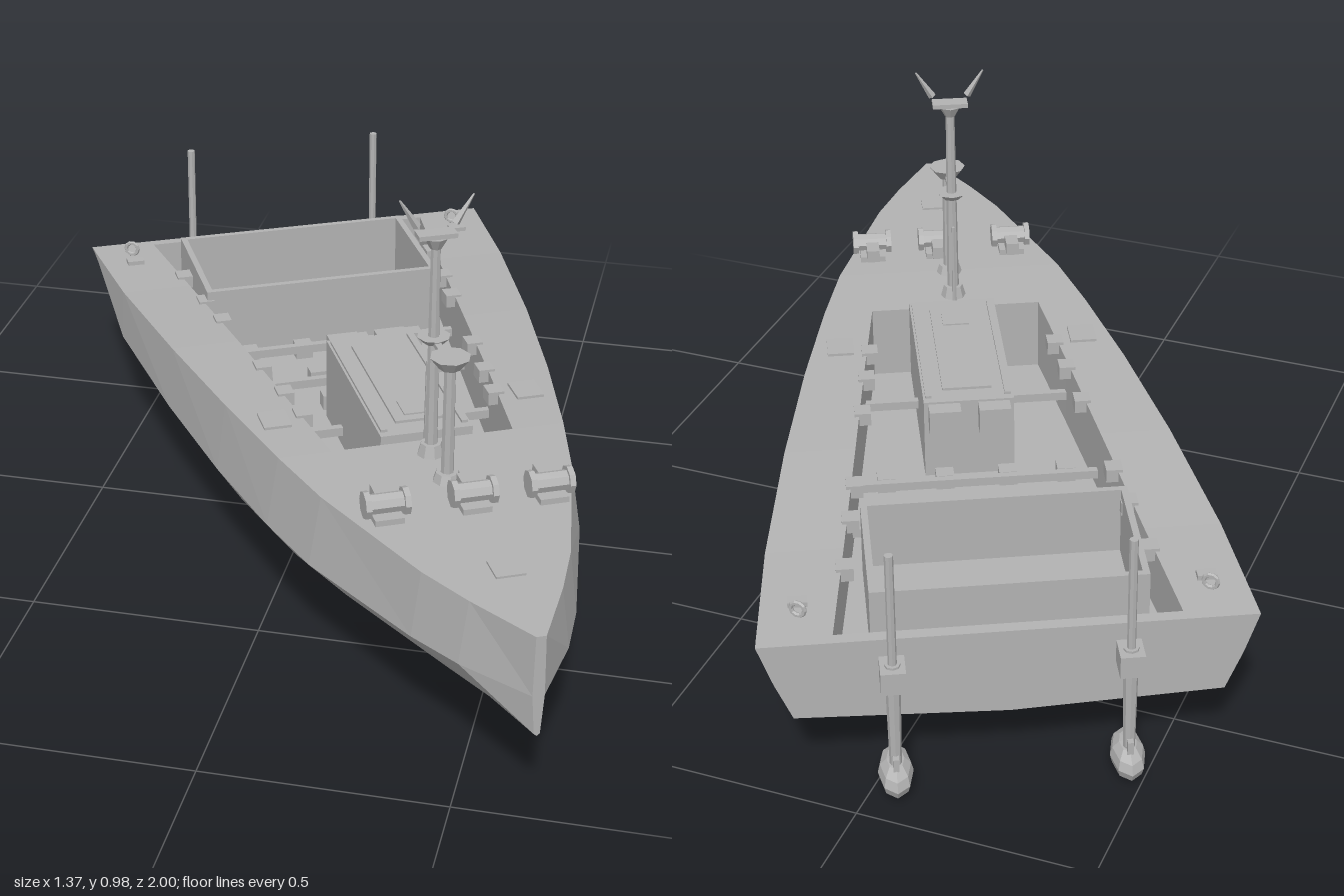
import * as THREE from 'three';

const grey = new THREE.MeshStandardMaterial({ color: 0xb2b2b2, flatShading: true });
grey.name = 'hull grey';

const FLOOR = 0.23;

// hull stations: z, deck half width, side half width, chine half width, deck y, chine y, keel y, well half width (0 = decked over)
const STATIONS = [
  [-0.80, 0.496, 0.465, 0.43, 0.355, 0.178, 0.16, 0],
  [-0.775, 0.494, 0.466, 0.43, 0.356, 0.177, 0.158, 0],
  [-0.775, 0.494, 0.466, 0.43, 0.356, 0.177, 0.158, 0.345],
  [-0.50, 0.47, 0.475, 0.42, 0.368, 0.165, 0.138, 0.31],
  [-0.15, 0.42, 0.432, 0.38, 0.385, 0.155, 0.12, 0.267],
  [0.16, 0.365, 0.385, 0.33, 0.396, 0.155, 0.122, 0.23],
  [0.42, 0.31, 0.335, 0.27, 0.402, 0.16, 0.134, 0.197],
  [0.42, 0.31, 0.335, 0.27, 0.402, 0.16, 0.134, 0],
  [0.60, 0.265, 0.29, 0.21, 0.405, 0.165, 0.145, 0],
  [0.92, 0.15, 0.168, 0.09, 0.408, 0.18, 0.165, 0],
  [1.04, 0.092, 0.11, 0.045, 0.409, 0.187, 0.176, 0],
  [1.185, 0.01, 0.012, 0.006, 0.41, 0.195, 0.19, 0],
];

// closed cross-section running keel, side, deck, well, then mirrored back
function section([z, top, side, chine, yTop, yChine, yKeel, well]) {
  const inY = well ? FLOOR : yTop;
  const half = [[chine, yChine], [side, yChine + 0.085], [top, yTop], [well, yTop], [well, inY]];
  const loop = [[0, yKeel], ...half, [0, inY], ...half.slice().reverse().map(([x, y]) => [-x, y])];
  return loop.map(([x, y]) => [x, y, z]);
}

function hullGeometry() {
  const rings = STATIONS.map(section);
  const n = rings[0].length;
  const pos = [];
  const tri = (...p) => p.forEach(v => pos.push(...v));
  for (let i = 0; i < rings.length - 1; i++) {
    for (let j = 0; j < n; j++) {
      const k = (j + 1) % n;
      const a = rings[i][j], b = rings[i][k], c = rings[i + 1][k], d = rings[i + 1][j];
      tri(a, b, c);
      tri(a, c, d);
    }
  }
  // transom and stem
  const stern = rings[0], bow = rings[rings.length - 1];
  for (let j = 1; j < n - 1; j++) {
    tri(stern[0], stern[j + 1], stern[j]);
    tri(bow[0], bow[j], bow[j + 1]);
  }
  const g = new THREE.BufferGeometry();
  g.setAttribute('position', new THREE.Float32BufferAttribute(pos, 3));
  g.computeVertexNormals();
  return g;
}

// value of a station column at a given z
function along(z, col) {
  for (let i = 0; i < STATIONS.length - 1; i++) {
    const a = STATIONS[i], b = STATIONS[i + 1];
    if (z >= a[0] && z < b[0]) return a[col] + (b[col] - a[col]) * (z - a[0]) / (b[0] - a[0]);
  }
  return STATIONS[STATIONS.length - 1][col];
}

function add(parent, name, geometry, x, y, z) {
  const m = new THREE.Mesh(geometry, grey);
  m.name = name;
  m.position.set(x, y, z);
  parent.add(m);
  return m;
}
const box = (p, name, w, h, d, x, y, z) => add(p, name, new THREE.BoxGeometry(w, h, d), x, y, z);
// upright cylinder between two heights
const post = (p, name, rTop, rBottom, x, z, y0, y1, sides = 8) =>
  add(p, name, new THREE.CylinderGeometry(rTop, rBottom, y1 - y0, sides), x, (y0 + y1) / 2, z);

function winch(p, x, z) {
  const g = new THREE.Group();
  g.name = 'winch';
  g.position.set(x, 0.405, z);
  p.add(g);
  box(g, 'winchBase', 0.06, 0.014, 0.08, 0, 0.007, 0);
  const drum = add(g, 'winchDrum', new THREE.CylinderGeometry(0.021, 0.021, 0.075, 8), 0, 0.033, 0.005);
  drum.rotation.z = Math.PI / 2;
  for (const s of [-1, 1]) {
    const flange = add(g, 'winchFlange', new THREE.CylinderGeometry(0.029, 0.029, 0.012, 8), s * 0.04, 0.033, 0.005);
    flange.rotation.z = Math.PI / 2;
  }
  box(g, 'winchMotor', 0.03, 0.03, 0.05, 0, 0.025, -0.035);
}

function thruster(p, x) {
  const z = -0.832;
  const g = new THREE.Group();
  g.name = 'thruster';
  p.add(g);
  post(g, 'thrusterPole', 0.009, 0.009, x, z, 0.3, 0.575);
  post(g, 'thrusterLeg', 0.016, 0.012, x, z, 0.06, 0.32);
  box(g, 'thrusterBracket', 0.05, 0.05, 0.07, x, 0.29, -0.825);
  const pod = add(g, 'thrusterPod', new THREE.SphereGeometry(1, 8, 6), x, 0.041, z + 0.015);
  pod.scale.set(0.036, 0.038, 0.072);
  box(g, 'thrusterFin', 0.012, 0.03, 0.05, x, 0.085, z);
}

export function createModel() {
  const model = new THREE.Group();
  model.name = 'workboat';
  // the boat lies at an angle to the axes
  const boat = new THREE.Group();
  boat.name = 'boat';
  boat.rotation.y = 0.47;
  boat.position.set(0.135 * Math.cos(0.47), 0, -0.135 * Math.sin(0.47));
  model.add(boat);

  add(boat, 'hull', hullGeometry(), 0, 0, 0);

  // open hold aft
  const hold = new THREE.Group();
  hold.name = 'hold';
  hold.position.set(-0.01, 0, -0.545);
  boat.add(hold);
  for (const s of [-1, 1]) {
    box(hold, 'holdSide', 0.014, 0.175, 0.32, s * 0.273, 0.3125, 0);
    box(hold, 'holdEnd', 0.56, 0.175, 0.014, 0, 0.3125, s * 0.153);
  }
  box(hold, 'holdFloor', 0.54, 0.015, 0.3, 0, 0.24, 0);

  // deckhouse with roof panel and hatch
  box(boat, 'deckhouse', 0.2, 0.19, 0.455, 0.01, 0.325, 0.19);
  for (const s of [-1, 1]) box(boat, 'roofRail', 0.014, 0.009, 0.42, 0.01 + s * 0.088, 0.4215, 0.19);
  box(boat, 'roofPanel', 0.11, 0.008, 0.36, 0.01, 0.422, 0.19);
  box(boat, 'roofHatch', 0.06, 0.007, 0.06, 0.01, 0.426, 0.32);
  for (const s of [-1, 1]) box(boat, 'deckhouseLocker', 0.07, 0.06, 0.04, 0.01 + s * 0.055, 0.385, -0.055);

  // beams across the well
  for (const z of [-0.3, -0.13]) box(boat, 'crossBeam', 2 * along(z, 7), 0.02, 0.016, 0, 0.27, z);
  for (const s of [-1, 1]) {
    box(boat, 'sideBeam', 0.13, 0.02, 0.016, s * 0.17, 0.3, 0.16);
  }

  // brackets along the well edge
  for (const z of [-0.56, -0.4, -0.28, -0.01, 0.13, 0.24])
    for (const s of [-1, 1])
      box(boat, 'edgeBracket', 0.036, 0.03, 0.04, s * (along(z, 7) - 0.006), along(z, 4) - 0.009, z);

  // fittings on the well floor
  for (const z of [-0.34, -0.2, -0.08])
    for (const x of [-0.2, -0.07, 0.07, 0.2])
      box(boat, 'floorFitting', 0.04, 0.035, 0.035, x, FLOOR + 0.0175, z);

  // deck plates and mooring rings
  for (const s of [-1, 1]) {
    box(boat, 'deckPlate', 0.06, 0.006, 0.07, s * 0.28, 0.402, 0.26);
    const ring = add(boat, 'mooringRing', new THREE.TorusGeometry(0.015, 0.005, 6, 10), s * 0.41, 0.38, -0.715);
    ring.rotation.y = -0.47;
    box(boat, 'sternCleat', 0.04, 0.012, 0.025, s * 0.41, 0.365, -0.67);
  }
  box(boat, 'bowPlate', 0.06, 0.006, 0.06, 0.01, 0.41, 0.95);

  // foredeck winches
  for (const x of [-0.16, 0.02, 0.18]) winch(boat, x, 0.7);

  // main mast with top platform and aerials
  const mast = new THREE.Group();
  mast.name = 'mainMast';
  mast.position.set(0, 0, 0.48);
  boat.add(mast);
  post(mast, 'mastPole', 0.01, 0.014, 0, 0, 0.4, 0.89);
  post(mast, 'mastFoot', 0.022, 0.03, 0, 0, 0.4, 0.43);
  post(mast, 'mastCap', 0.026, 0.012, 0, 0, 0.87, 0.895);
  box(mast, 'mastPlatform', 0.08, 0.01, 0.035, 0, 0.9, 0);
  post(mast, 'mastCollar', 0.035, 0.022, 0, 0, 0.662, 0.676);
  for (const s of [-1, 1]) {
    const aerial = add(mast, 'aerial', new THREE.CylinderGeometry(0.002, 0.009, 0.07, 4), s * 0.058, 0.95, 0);
    aerial.rotation.z = -s * 0.55;
  }

  // lamp mast ahead of it, joined by a bridge
  post(boat, 'lampPole', 0.012, 0.014, 0, 0.595, 0.4, 0.665);
  post(boat, 'lampFoot', 0.024, 0.032, 0, 0.595, 0.4, 0.425);
  post(boat, 'lampCap', 0.042, 0.022, 0, 0.595, 0.66, 0.686);
  box(boat, 'mastBridge', 0.014, 0.01, 0.12, 0, 0.668, 0.54);
  post(boat, 'whipAerial', 0.004, 0.006, 0, 0.445, 0.4, 0.6, 6);

  // steerable thrusters on the transom
  for (const x of [-0.234, 0.234]) thruster(boat, x);

  return model;
}
